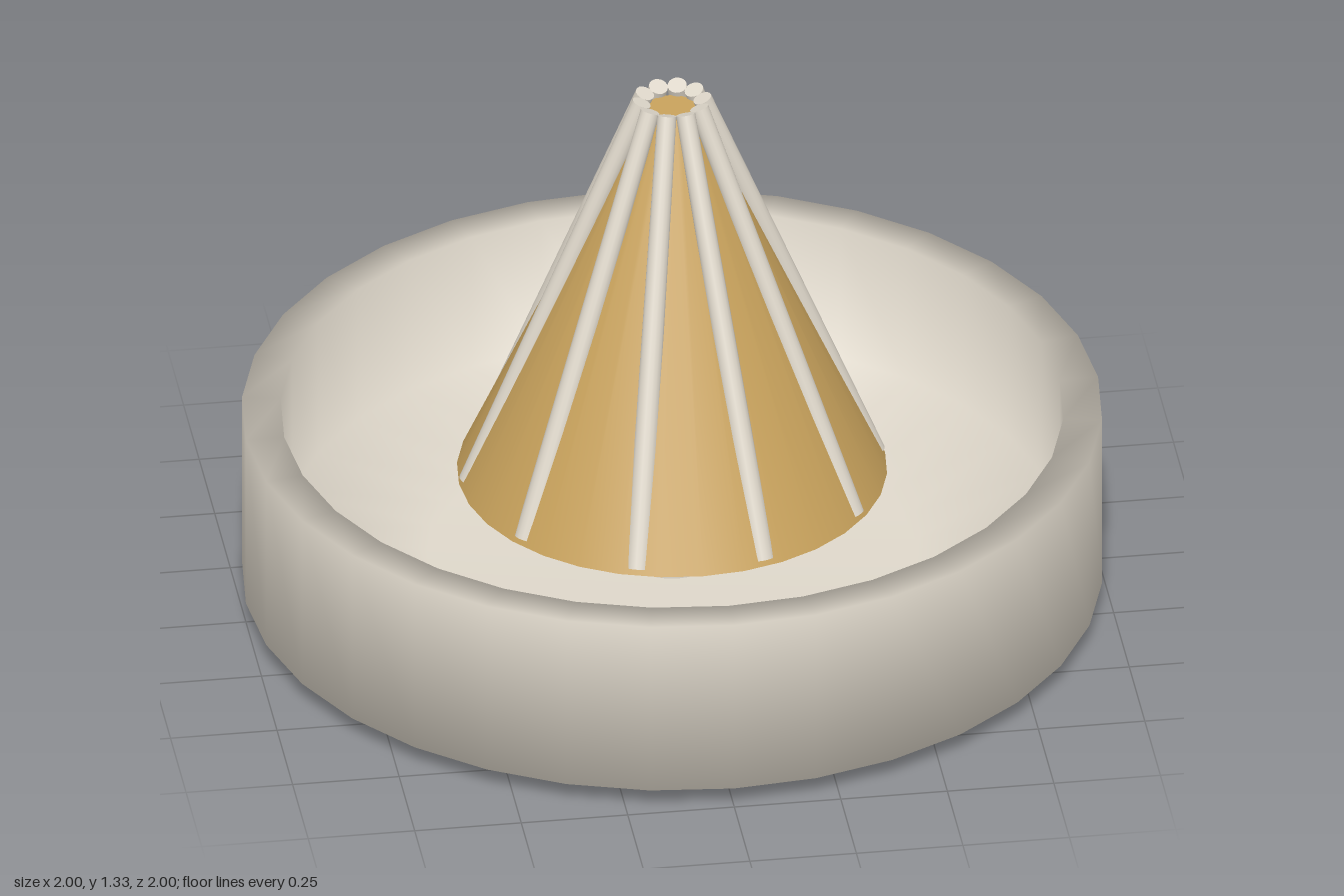
import * as THREE from 'three';
import { mergeVertices } from 'three/addons/utils/BufferGeometryUtils.js';

export function createModel() {
  const model = new THREE.Group();
  const cream = new THREE.MeshStandardMaterial({ name: 'cream', color: 0xded7ca });
  const gold = new THREE.MeshStandardMaterial({ name: 'gold', color: 0xc8a25c });

  const add = (parent, name, geometry, material, y = 0) => {
    const mesh = new THREE.Mesh(geometry, material);
    mesh.name = name;
    mesh.position.y = y;
    parent.add(mesh);
    return mesh;
  };

  // Deep bowl: underside, outer wall, rim, inner wall, floor
  const profile = [
    [0, 0], [0.6, 0], [1, 0.05], [1, 0.49],
    [0.91, 0.49], [0.91, 0.14], [0.57, 0.09], [0, 0.09],
  ].map(([r, y]) => new THREE.Vector2(r, y));
  // Weld the seam and let the large walls dominate the rim normals
  const lathe = new THREE.LatheGeometry(profile, 32);
  lathe.deleteAttribute('uv');
  lathe.deleteAttribute('normal');
  const bowl = mergeVertices(lathe);
  bowl.computeVertexNormals();
  add(model, 'bowl', bowl, cream);

  // Reamer cone on a slim stem rising from the floor
  const base = 0.33, top = 1.3;
  add(model, 'reamerCone',
    new THREE.CylinderGeometry(0.06, 0.5, top - base, 32), gold, (top + base) / 2);
  add(model, 'stem', new THREE.CylinderGeometry(0.1, 0.1, 0.26, 24), cream, 0.21);

  // Ten tapered round ribs sunk into the cone
  const ribs = new THREE.Group();
  ribs.name = 'ribs';
  model.add(ribs);
  const foot = new THREE.Vector2(0.472, 0.335);
  const tip = new THREE.Vector2(0.071, 1.321);
  const along = tip.clone().sub(foot);
  const ribGeometry = new THREE.CylinderGeometry(0.0225, 0.029, along.length(), 16);
  ribGeometry.rotateZ(Math.atan2(-along.x, along.y));
  ribGeometry.translate((foot.x + tip.x) / 2, (foot.y + tip.y) / 2, 0);
  for (let i = 0; i < 10; i++) {
    add(ribs, 'rib', ribGeometry, cream).rotation.y = (i * Math.PI) / 5;
  }

  return model;
}
